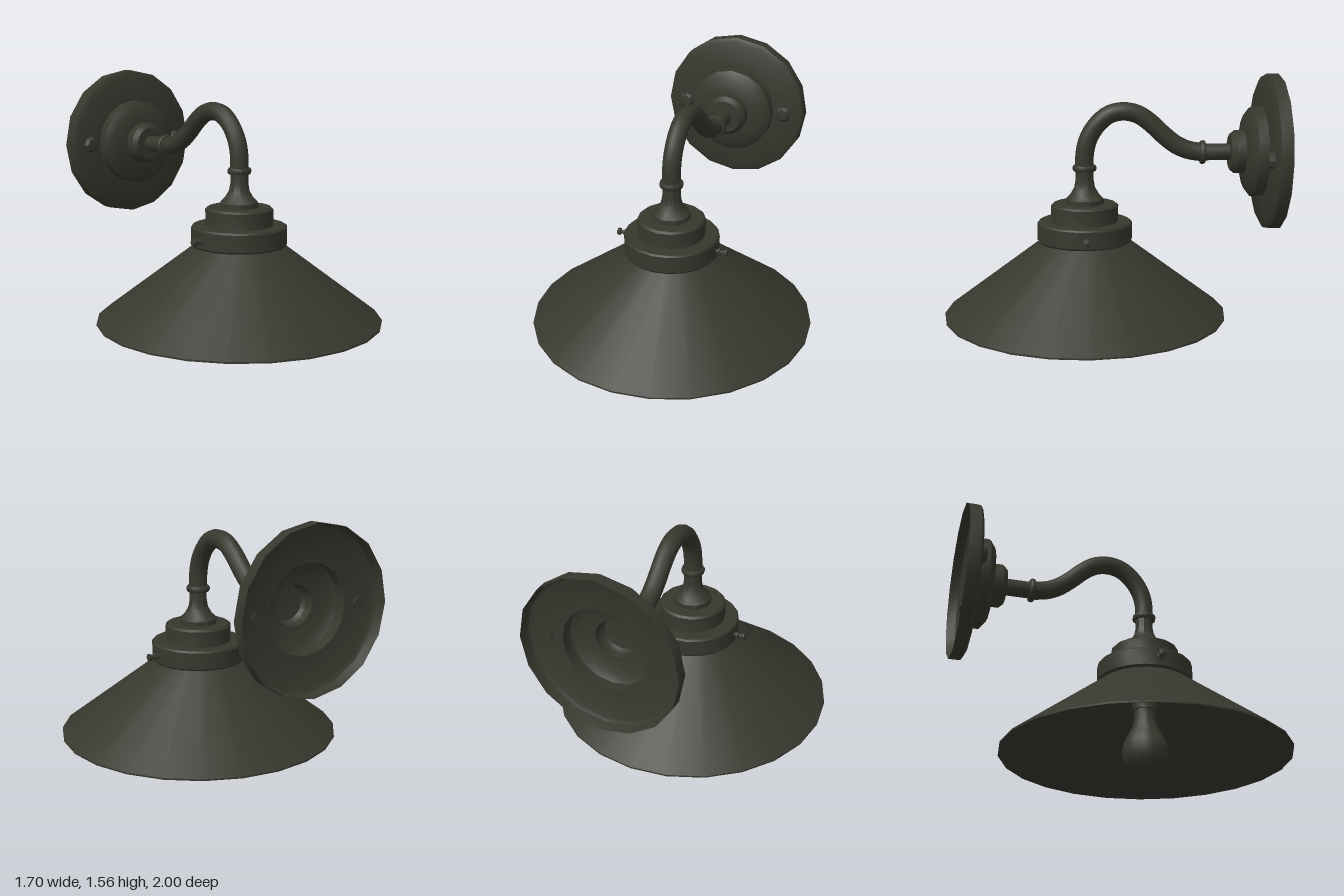
import * as THREE from 'three';
import { toCreasedNormals } from 'three/addons/utils/BufferGeometryUtils.js';

const AXIS_Z = 0.15; // vertical axis of shade and bulb
const ARM_Y = 1.1;   // height of wall plate centre

export function createModel() {
  const model = new THREE.Group();
  model.name = 'wallLamp';
  const bronze = new THREE.MeshStandardMaterial({ color: 0x38372e, side: THREE.DoubleSide });
  bronze.name = 'darkBronze';

  // Turned part from [radius, height] pairs
  const turned = (name, profile, sides, parent = model) => {
    const points = profile.map(([r, h]) => new THREE.Vector2(r, h));
    const geometry = toCreasedNormals(new THREE.LatheGeometry(points, sides), 0.6);
    const mesh = new THREE.Mesh(geometry, bronze);
    mesh.name = name;
    parent.add(mesh);
    return mesh;
  };

  // Shade, fitter and bulb share one vertical axis
  const head = new THREE.Group();
  head.name = 'lampHead';
  head.position.z = AXIS_Z;
  model.add(head);

  turned('shade', [
    [0.26, 0.575], [0.85, 0.128], [0.85, 0.118], [0.84, 0.12], [0.25, 0.567], [0.22, 0.567],
  ], 24, head);
  turned('shadeCollar', [
    [0.22, 0.57], [0.277, 0.57], [0.285, 0.58], [0.285, 0.68], [0.277, 0.69], [0.19, 0.69],
  ], 20, head);
  turned('fitterCap', [
    [0, 0.6], [0.22, 0.6], [0.2, 0.69], [0.202, 0.785], [0.19, 0.797], [0, 0.797],
  ], 16, head);
  turned('armFlare', [
    [0.115, 0.795], [0.115, 0.825], [0.085, 0.855], [0.062, 0.895], [0.054, 0.94], [0.054, 1.0],
  ], 10, head);
  turned('armRing', [
    [0.05, 0.992], [0.066, 0.994], [0.071, 1.004], [0.071, 1.018], [0.066, 1.028], [0.05, 1.03],
  ], 12, head);
  turned('socket', [
    [0.1, 0.6], [0.1, 0.5], [0.075, 0.49], [0.075, 0.4], [0, 0.4],
  ].reverse(), 12, head);
  turned('bulb', [
    [0, 0.005], [0.053, 0.016], [0.098, 0.045], [0.128, 0.09], [0.138, 0.142], [0.128, 0.195],
    [0.1, 0.25], [0.075, 0.3], [0.064, 0.35], [0.062, 0.41],
  ], 16, head);

  // Thumb screws on both sides of the collar
  for (const side of [-1, 1]) {
    const screw = turned('thumbScrew', [
      [0.013, 0], [0.013, 0.016], [0.022, 0.02], [0.022, 0.03], [0.012, 0.034], [0.012, 0.052],
      [0.022, 0.06], [0.022, 0.073], [0.014, 0.078], [0, 0.079],
    ], 10, head);
    screw.position.set(side * 0.278, 0.627, 0);
    screw.rotation.z = -side * Math.PI / 2;
  }

  // Gooseneck arm
  const path = new THREE.CatmullRomCurve3([
    [1.02, 0.15], [1.1, 0.148], [1.19, 0.125], [1.275, 0.07], [1.33, 0], [1.347, -0.08],
    [1.33, -0.165], [1.28, -0.24], [1.21, -0.315], [1.15, -0.39], [1.115, -0.465], [1.1, -0.55],
  ].map(([y, z]) => new THREE.Vector3(0, y, z)), false, 'centripetal');
  const arm = new THREE.Mesh(new THREE.TubeGeometry(path, 32, 0.055, 12), bronze);
  arm.name = 'gooseneckArm';
  model.add(arm);

  // Wall mount, turned about z
  const mount = new THREE.Group();
  mount.name = 'wallMount';
  mount.position.set(0, ARM_Y, -1);
  mount.rotation.x = Math.PI / 2;
  model.add(mount);

  turned('wallPlate', [
    [0.465, 0], [0.465, 0.07], [0.44, 0.085], [0.27, 0.095], [0.27, 0.155], [0.225, 0.19],
    [0.13, 0.2], [0.13, 0.255], [0.105, 0.282], [0, 0.285],
  ], 16, mount);
  turned('wallPlateInside', [
    [0, 0.27], [0.1, 0.262], [0.115, 0.24], [0.115, 0.185], [0.21, 0.175], [0.25, 0.145],
    [0.25, 0.078], [0.43, 0.068], [0.45, 0.055], [0.465, 0],
  ], 16, mount);
  turned('armStub', [[0.05, 0.27], [0.05, 0.45]], 12, mount);
  turned('stubRing', [
    [0.05, 0.428], [0.066, 0.43], [0.071, 0.438], [0.071, 0.452], [0.066, 0.46], [0.05, 0.462],
  ], 12, mount);

  // Mounting bolts
  for (const side of [-1, 1]) {
    const bolt = turned('mountingBolt', [
      [0, 0.06], [0.03, 0.06], [0.03, 0.08], [0.052, 0.085], [0.052, 0.1], [0.036, 0.118], [0, 0.122],
    ], 8, mount);
    bolt.position.x = side * 0.335;
  }
  return model;
}
